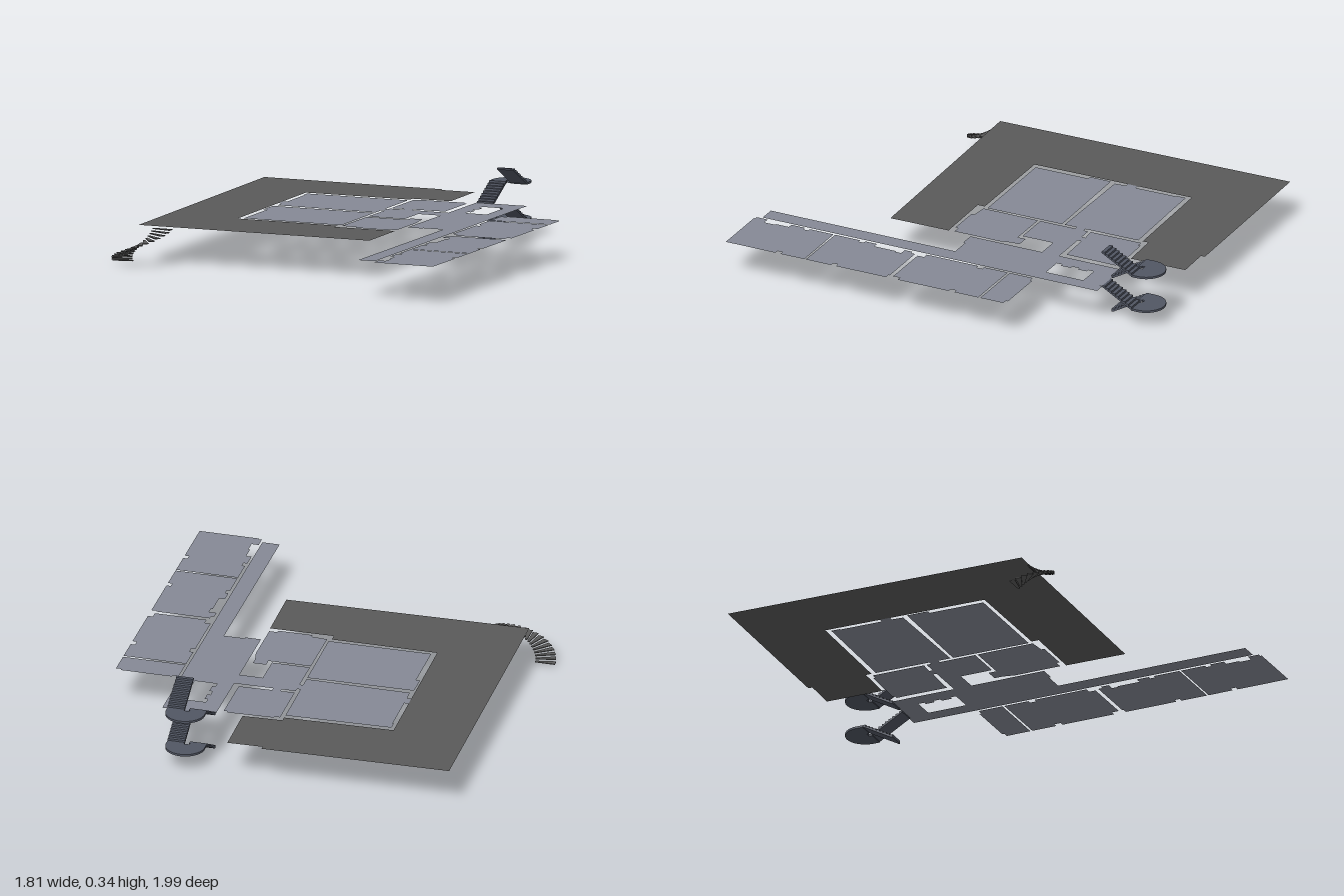
import * as THREE from 'three';

const FLOOR_Y = 0.175;
const roomMat = new THREE.MeshStandardMaterial({ color: 0x858995, side: THREE.DoubleSide });
const terraceMat = new THREE.MeshStandardMaterial({ color: 0x5a5a5a, side: THREE.DoubleSide });
const stairMat = new THREE.MeshStandardMaterial({ color: 0x515663, flatShading: true });
const treadMat = new THREE.MeshStandardMaterial({ color: 0x5a5a5a, flatShading: true });

// plan outline given as [x, z] pairs
const toPoints = (plan) => plan.map(([x, z]) => new THREE.Vector2(x, -z));

// thin floor sheet lying on the storey level
function sheet(name, plan, material, hole) {
  const shape = new THREE.Shape(toPoints(plan));
  if (hole) shape.holes.push(new THREE.Path(toPoints(hole)));
  const mesh = new THREE.Mesh(new THREE.ShapeGeometry(shape).rotateX(-Math.PI / 2), material);
  mesh.position.y = FLOOR_Y;
  mesh.name = name;
  return mesh;
}

// stepped flight with a sloping underside, climbing from z0 to z1
function flight(name, x, z0, z1, y, rise) {
  const n = 9, thick = 0.006, shape = new THREE.Shape();
  const u = (t) => -(z0 + (z1 - z0) * t);
  shape.moveTo(u(0), y - 0.005);
  for (let i = 0; i < n; i++) {
    shape.lineTo(u(i / n), y + (rise * (i + 1)) / n);
    shape.lineTo(u((i + 1) / n), y + (rise * (i + 1)) / n);
  }
  shape.lineTo(u(1), y + rise - thick);
  shape.lineTo(u(0.04), y - 0.005);
  const geo = new THREE.ExtrudeGeometry(shape, { depth: 0.08, bevelEnabled: false });
  const mesh = new THREE.Mesh(geo.rotateY(Math.PI / 2), stairMat);
  mesh.position.x = x;
  mesh.name = name;
  return mesh;
}

// round-ended half landing with a slot between the flights
function landing(y) {
  const s = new THREE.Shape();
  s.moveTo(0.35, 0.87);
  s.lineTo(0.425, 0.87);
  s.lineTo(0.425, 0.885);
  s.lineTo(0.45, 0.885);
  s.lineTo(0.45, 0.87);
  s.lineTo(0.53, 0.87);
  s.lineTo(0.53, 0.9);
  s.absarc(0.44, 0.9, 0.09, 0, Math.PI, false);
  const geo = new THREE.ExtrudeGeometry(s, { depth: 0.01, bevelEnabled: false, curveSegments: 16 });
  const mesh = new THREE.Mesh(geo.rotateX(-Math.PI / 2), stairMat);
  mesh.position.y = y - 0.01;
  mesh.name = 'stairLanding';
  return mesh;
}

// half-turn of floating wedge treads
function curvedStair() {
  const group = new THREE.Group(), n = 16, step = Math.PI / n;
  group.name = 'curvedStair';
  for (let i = 0; i < n; i++) {
    const a = Math.PI + i * step, s = new THREE.Shape();
    s.absarc(0, 0, 0.143, a, a + step, false);
    s.absarc(0, 0, 0.05, a + step, a, true);
    const geo = new THREE.ExtrudeGeometry(s, { depth: 0.004, bevelEnabled: false, curveSegments: 2 });
    const tread = new THREE.Mesh(geo.rotateX(-Math.PI / 2), treadMat);
    tread.position.y = 0.008 + (i * 0.154) / (n - 1);
    tread.name = 'curvedStairTread';
    group.add(tread);
  }
  group.position.set(-0.765, 0, 0.463);
  return group;
}

export function createModel() {
  const model = new THREE.Group();
  model.name = 'floorPlan';

  // U-shaped terrace
  model.add(sheet('terrace', [
    [-.817, -.985], [.056, -1], [.056, -.98], [.22, -.985], [.225, -.712], [.04, -.705], [.04, -.677],
    [-.468, -.665], [-.453, .122], [.04, .122], [.04, .157], [.337, .153], [.342, .445], [-.787, .467],
  ], terraceMat));

  // rooms, with small door and window bays
  const rooms = {
    largeRoomBack: [[-.452, -.643], [.04, -.655], [.045, -.285], [-.44, -.29], [-.443, -.345], [-.463, -.345],
      [-.463, -.395], [-.443, -.395], [-.446, -.6], [-.452, -.6]],
    largeRoomFront: [[-.452, -.265], [.045, -.272], [.05, .103], [-.43, .105], [-.433, -.16], [-.452, -.16]],
    middleRoomBack: [[.058, -.68], [.085, -.68], [.085, -.69], [.3, -.697], [.305, -.685], [.32, -.685],
      [.32, -.435], [.165, -.43], [.165, -.41], [.125, -.41], [.125, -.43], [.06, -.425]],
    middleRoomFront: [[.06, -.158], [.258, -.158], [.258, -.197], [.32, -.197], [.32, -.16], [.333, -.1],
      [.333, .125], [.295, .125], [.295, .14], [.135, .14], [.135, .125], [.06, .118]],
    sideRoom1: [[.607, -.412], [.635, -.412], [.635, -.423], [.875, -.423], [.875, -.412], [.9, -.412],
      [.9, -.295], [.607, -.295]],
    sideRoom2: [[.607, -.285], [.9, -.285], [.9, -.165], [.88, -.165], [.88, -.135], [.9, -.135], [.9, .123],
      [.877, .123], [.877, .157], [.635, .157], [.635, .125], [.607, .125], [.607, -.135], [.625, -.135],
      [.625, -.165], [.607, -.165]],
    sideRoom3: [[.625, .175], [.875, .175], [.875, .182], [.9, .182], [.9, .435], [.88, .435], [.88, .46], [.9, .46],
      [.9, .587], [.61, .587], [.61, .46], [.625, .46], [.625, .435], [.61, .435], [.61, .375], [.637, .375],
      [.637, .265], [.645, .265], [.645, .235], [.61, .235], [.61, .195], [.625, .195]],
    sideRoom4: [[.61, .595], [.9, .595], [.9, .715], [.88, .715], [.88, .74], [.9, .74], [.9, .992], [.622, .992],
      [.622, .985], [.607, .985], [.607, .93], [.64, .93], [.64, .875], [.632, .875], [.632, .81], [.607, .81],
      [.607, .74], [.625, .74], [.625, .715], [.61, .715]],
  };
  for (const [name, plan] of Object.entries(rooms)) model.add(sheet(name, plan, roomMat));

  // corridor with its lobby and the open shaft
  model.add(sheet('corridor', [
    [.06, -.412], [.347, -.412], [.347, -.727], [.54, -.727], [.54, -.715], [.543, -.73], [.595, -.73], [.598, .96],
    [.517, .96], [.517, .027], [.42, .027], [.42, .037], [.347, .037], [.347, -.325], [.238, -.325], [.238, -.17],
    [.06, -.17], [.06, -.345], [.04, -.345], [.04, -.39], [.06, -.39],
  ], roomMat, [
    [.42, -.625], [.525, -.625], [.525, -.437], [.42, -.437], [.42, -.465], [.435, -.465], [.435, -.515],
    [.42, -.515], [.42, -.55], [.435, -.55], [.435, -.595], [.42, -.595],
  ]));

  // two storeys of half-turn stairs
  const rise = 0.084;
  for (let storey = 0; storey < 2; storey++) {
    const y = 0.005 + storey * 2 * rise;
    model.add(
      flight('lowerFlight', 0.35, -0.72, -0.872, y, rise),
      landing(y + rise),
      flight('upperFlight', 0.45, -0.872, -0.72, y + rise, rise),
    );
  }

  model.add(curvedStair());
  return model;
}
